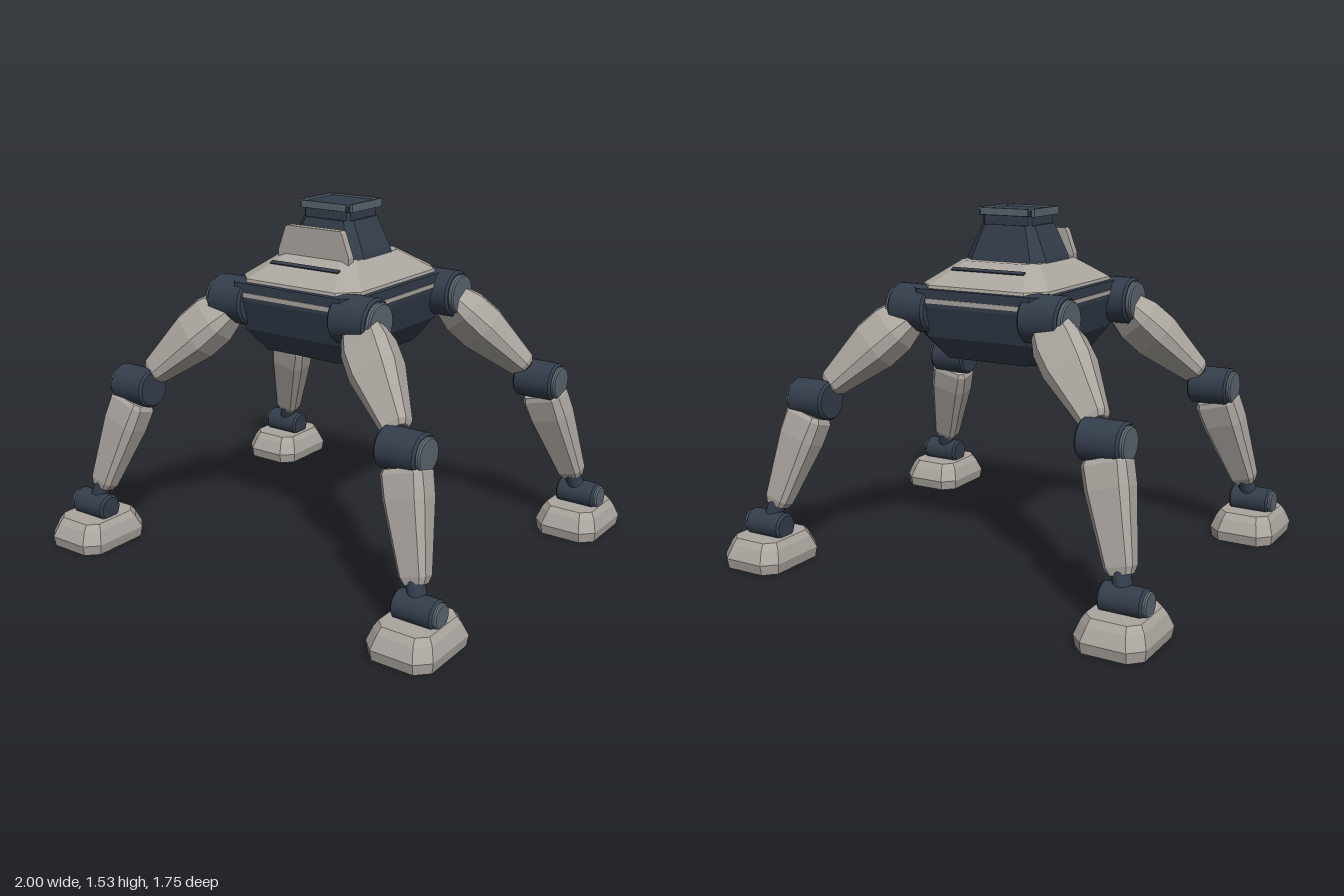
import * as THREE from 'three';
import { toCreasedNormals } from 'three/addons/utils/BufferGeometryUtils.js';

const shellMat = new THREE.MeshStandardMaterial({ color: 0xaca6a0 });
shellMat.name = 'warmGrey';
const darkMat = new THREE.MeshStandardMaterial({ color: 0x343d4b });
darkMat.name = 'darkSlate';
const steelMat = new THREE.MeshStandardMaterial({ color: 0x5b656e });
steelMat.name = 'steelGrey';

// Faceted loft through chamfered rectangles: [y, halfX, halfZ, cornerCut]
function loft(sections) {
  const rings = sections.map(([y, hx, hz, c]) => [
    [hx, hz - c], [hx, c - hz], [hx - c, -hz], [c - hx, -hz],
    [-hx, c - hz], [-hx, hz - c], [c - hx, hz], [hx - c, hz],
  ].map(([x, z]) => new THREE.Vector3(x, y, z)));
  const pos = [];
  const tri = (...pts) => pts.forEach((p) => pos.push(p.x, p.y, p.z));
  for (let i = 0; i < rings.length - 1; i++) {
    for (let j = 0; j < 8; j++) {
      const k = (j + 1) % 8;
      const a = rings[i][j], b = rings[i][k], c = rings[i + 1][k], d = rings[i + 1][j];
      tri(a, b, c);
      tri(a, c, d);
    }
  }
  const bottom = rings[0], top = rings[rings.length - 1];
  for (let j = 1; j < 7; j++) {
    tri(bottom[0], bottom[j + 1], bottom[j]);
    tri(top[0], top[j], top[j + 1]);
  }
  const g = new THREE.BufferGeometry();
  g.setAttribute('position', new THREE.Float32BufferAttribute(pos, 3));
  g.computeVertexNormals();
  return g;
}

// Drum lying along x with a small bevel on both rims
function drum(radius, length, bevel) {
  const h = length / 2;
  const pts = [[0, -h], [radius - bevel, -h], [radius, bevel - h], [radius, h - bevel], [radius - bevel, h], [0, h]]
    .map(([x, y]) => new THREE.Vector2(x, y));
  return toCreasedNormals(new THREE.LatheGeometry(pts, 32).rotateZ(Math.PI / 2), 0.5);
}

function add(parent, name, geometry, material, x = 0, y = 0, z = 0) {
  const mesh = new THREE.Mesh(geometry, material);
  mesh.name = name;
  mesh.position.set(x, y, z);
  parent.add(mesh);
  return mesh;
}

// Limb segment from one joint to the next, its width kept along the hinge axis
function limb(parent, name, from, to, sections) {
  const d = to.clone().sub(from);
  const length = d.length();
  d.normalize();
  const s = new THREE.Vector3(1, 0, 0).addScaledVector(d, -d.x).normalize();
  const n = s.clone().cross(d);
  const group = new THREE.Group();
  group.name = name;
  group.quaternion.setFromRotationMatrix(new THREE.Matrix4().makeBasis(s, d, n));
  group.position.copy(from);
  add(group, name + 'Armour', loft(sections), shellMat);
  add(group, name + 'Strut', new THREE.CylinderGeometry(0.038, 0.038, length, 16), darkMat, 0, length / 2, 0);
  parent.add(group);
}

function joint(parent, name, p, side, radius, length, capDepth) {
  add(parent, name + 'Drum', drum(radius, length, 0.01), darkMat, p.x, p.y, p.z);
  add(parent, name + 'Cap', drum(radius * 0.84, capDepth * 2, 0.006), steelMat, p.x + side * length / 2, p.y, p.z);
}

function buildLeg(sx, sz) {
  const leg = new THREE.Group();
  leg.name = (sz > 0 ? 'front' : 'back') + (sx > 0 ? 'Left' : 'Right') + 'Leg';
  const hip = new THREE.Vector3(sx * 0.315, 1.112, sz * 0.315);
  const knee = new THREE.Vector3(sx * 0.693, 0.717, sz * 0.553);
  const ankle = new THREE.Vector3(sx * 0.853, 0.165, sz * 0.695);
  joint(leg, 'hip', hip, sx, 0.102, 0.18, 0.02);
  joint(leg, 'knee', knee, sx, 0.085, 0.185, 0.016);
  joint(leg, 'ankle', ankle, sx, 0.06, 0.185, 0.014);
  limb(leg, 'upperLeg', hip, knee, [
    [0.06, 0.085, 0.06, 0.025], [0.14, 0.104, 0.083, 0.035], [0.25, 0.105, 0.086, 0.038],
    [0.49, 0.06, 0.05, 0.022], [0.51, 0.045, 0.038, 0.018],
  ]);
  limb(leg, 'lowerLeg', knee, ankle, [
    [0.065, 0.082, 0.058, 0.02], [0.085, 0.094, 0.066, 0.025], [0.18, 0.093, 0.068, 0.028],
    [0.47, 0.06, 0.042, 0.018], [0.5, 0.045, 0.032, 0.014],
  ]);
  add(leg, 'foot', loft([
    [0, 0.141, 0.174, 0.05], [0.045, 0.148, 0.183, 0.055],
    [0.1, 0.129, 0.157, 0.05], [0.127, 0.112, 0.136, 0.04],
  ]), shellMat, sx * 0.852, 0, sz * 0.693);
  return leg;
}

export function createModel() {
  const model = new THREE.Group();
  model.name = 'fourLeggedWalker';

  // Hull, its pale seam and the sloping upper shell
  add(model, 'hull', loft([
    [0.9, 0.235, 0.275, 0.05], [1.0, 0.3, 0.35, 0.06],
    [1.13, 0.33, 0.385, 0.06], [1.205, 0.33, 0.385, 0.06],
  ]), darkMat);
  add(model, 'hullSeam', loft([[1.147, 0.334, 0.389, 0.06], [1.166, 0.334, 0.389, 0.06]]), shellMat);
  add(model, 'upperShell', loft([
    [1.17, 0.312, 0.368, 0.075], [1.218, 0.302, 0.355, 0.075], [1.31, 0.19, 0.2, 0.05],
  ]), shellMat);

  // Vent slots lying on the front and back slopes
  const slope = Math.atan2(0.092, 0.155);
  for (const s of [1, -1]) {
    const slot = add(model, 'ventSlot', new THREE.BoxGeometry(0.35, 0.009, 0.018), darkMat, 0, 1.279, s * 0.255);
    slot.rotation.x = s * slope;
  }

  // Turret and neck
  add(model, 'turret', loft([
    [1.3, 0.195, 0.157, 0.05], [1.33, 0.187, 0.15, 0.048], [1.46, 0.128, 0.116, 0.03],
  ]), darkMat);
  add(model, 'neck', loft([[1.46, 0.118, 0.106, 0.012], [1.505, 0.118, 0.106, 0.012]]), darkMat);

  // Upright front shield
  const shield = new THREE.Shape();
  [[-0.182, 1.29], [0.182, 1.29], [0.182, 1.325], [0.145, 1.425], [0.135, 1.432], [-0.135, 1.432], [-0.145, 1.425], [-0.182, 1.325]]
    .forEach(([x, y], i) => (i ? shield.lineTo(x, y) : shield.moveTo(x, y)));
  add(model, 'frontShield', new THREE.ExtrudeGeometry(shield, { depth: 0.034, bevelEnabled: false }), shellMat, 0, 0, 0.163);

  // Top deck with four rim rails, open at the corners
  add(model, 'topDeck', new THREE.BoxGeometry(0.25, 0.024, 0.235), darkMat, 0, 1.51, 0);
  for (const s of [1, -1]) {
    add(model, 'sideRail', new THREE.BoxGeometry(0.014, 0.034, 0.215), steelMat, s * 0.131, 1.514, 0);
    add(model, 'endRail', new THREE.BoxGeometry(0.23, 0.03, 0.012), steelMat, 0, 1.515, s * 0.119);
  }

  for (const sx of [1, -1]) for (const sz of [1, -1]) model.add(buildLeg(sx, sz));
  return model;
}
